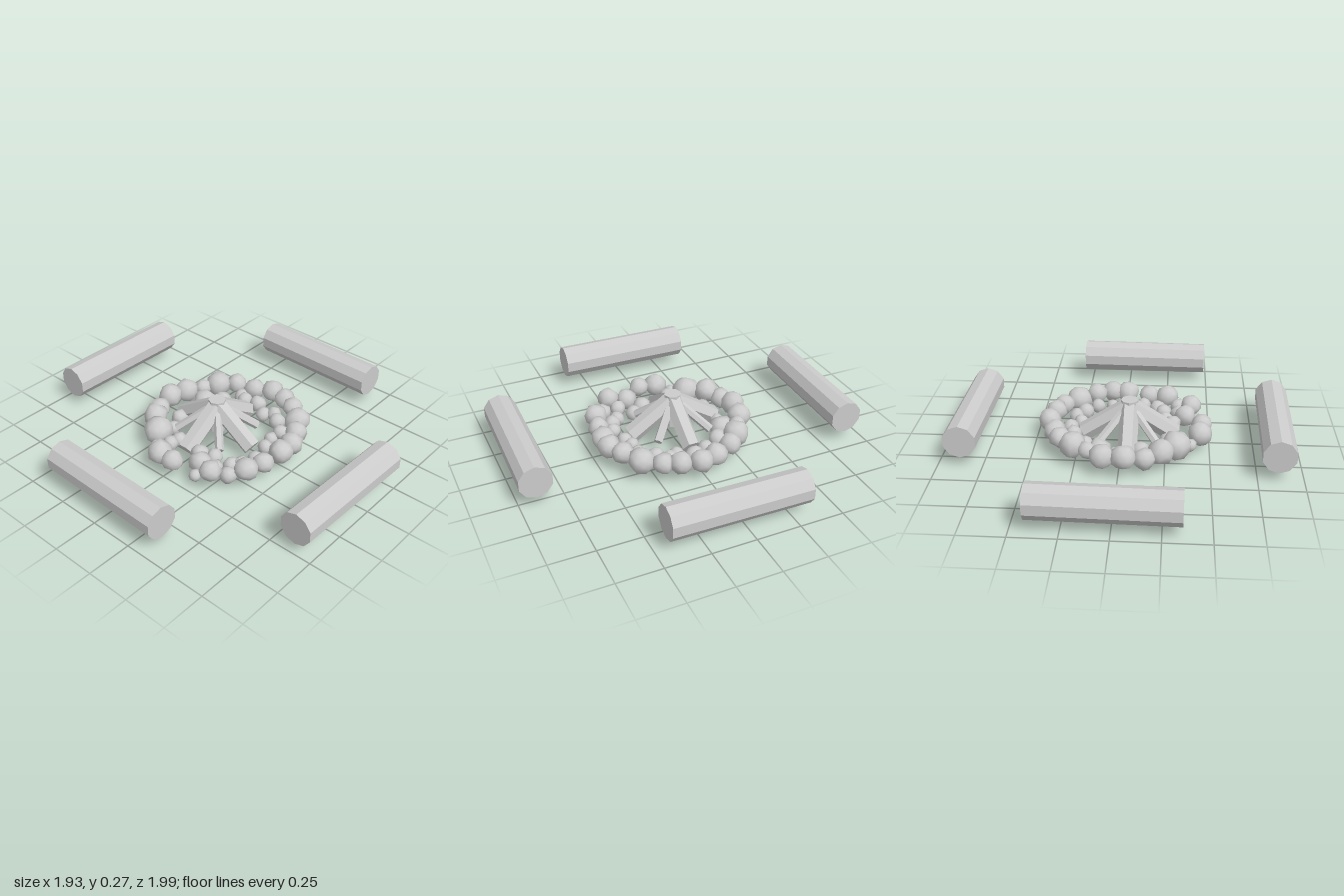
import * as THREE from 'three';
import { mergeVertices } from 'three/addons/utils/BufferGeometryUtils.js';

const flat = new THREE.MeshStandardMaterial({ color: 0xcccccc, flatShading: true });
const smooth = new THREE.MeshStandardMaterial({ color: 0xcccccc });

function seeded(seed) {
  return () => (seed = (seed * 16807) % 2147483647) / 2147483647;
}

function add(parent, name, geometry, material) {
  const mesh = new THREE.Mesh(geometry, material);
  mesh.name = name;
  parent.add(mesh);
  return mesh;
}

// A lumpy rounded stone: a coarse ball whose corners are pushed in and out
function stoneGeometry(radius, random) {
  let g = new THREE.IcosahedronGeometry(radius, 1);
  g.deleteAttribute('normal');
  g.deleteAttribute('uv');
  g = mergeVertices(g, radius * 0.01);
  const p = g.attributes.position;
  for (let i = 0; i < p.count; i++) {
    const s = 0.92 + 0.2 * random();
    p.setXYZ(i, p.getX(i) * s, p.getY(i) * s, p.getZ(i) * s);
  }
  g.rotateY(random() * 6);
  g.rotateX(random() * 6);
  g.computeVertexNormals();
  return g;
}

// Straight stick between two points, one flat side facing up
function stickGeometry(from, to, radius) {
  const dir = to.clone().sub(from);
  const g = new THREE.CylinderGeometry(radius, radius, dir.length(), 6, 1, false, Math.PI / 6);
  g.rotateX(Math.PI / 2);
  g.rotateZ(Math.PI / 2 * 2);
  const m = new THREE.Matrix4().lookAt(to, from, new THREE.Vector3(0, 1, 0));
  g.applyMatrix4(m);
  const mid = from.clone().add(to).multiplyScalar(0.5);
  return g.translate(mid.x, mid.y, mid.z);
}

export function createModel() {
  const model = new THREE.Group();
  model.name = 'campfire';

  // Four seat logs around the fire, each nearly square to it
  const logs = [[0.035, -0.9], [0.865, 0.042], [-0.095, 0.897], [-0.868, -0.017]];
  logs.forEach(([x, z], i) => {
    const g = new THREE.CylinderGeometry(0.095, 0.095, 0.775, 10, 1, false, Math.PI / 2);
    g.rotateZ(Math.PI / 2);
    // turn about its own axis so that an edge runs along the top
    const log = add(model, 'seatLog', g, flat);
    log.position.set(x, 0.14, z);
    log.rotation.y = -i * Math.PI / 2 - 0.02;
  });

  // Firewood: four thick sticks in a cross, thin ones between, around a post
  const wood = new THREE.Group();
  wood.name = 'firewood';
  wood.position.set(-0.042, 0, -0.012);
  model.add(wood);
  for (let i = 0; i < 8; i++) {
    const thick = i % 2 === 0;
    const a = i * Math.PI / 4;
    const reach = thick ? 0.26 : 0.23;
    const foot = new THREE.Vector3(Math.cos(a) * reach, thick ? 0.055 : 0.075, Math.sin(a) * reach);
    const top = new THREE.Vector3(0, thick ? 0.225 : 0.235, 0);
    add(wood, thick ? 'thickStick' : 'thinStick', stickGeometry(foot, top, thick ? 0.054 : 0.025), flat);
  }
  const post = add(wood, 'centrePost', new THREE.CylinderGeometry(0.05, 0.05, 0.2, 8), flat);
  post.position.y = 0.165;

  // Ring of stones, as [x, z, radius]: large ones outside, small ones within
  const largeStones = [
    [-0.03, -0.40, 0.068], [0.09, -0.375, 0.068], [-0.14, -0.375, 0.06], [-0.23, -0.32, 0.07],
    [-0.31, -0.22, 0.08], [0.26, -0.27, 0.072], [0.34, -0.19, 0.06], [0.38, -0.085, 0.062],
    [0.42, 0.025, 0.064], [0.395, 0.135, 0.06], [0.36, 0.225, 0.058], [0.28, 0.315, 0.073],
    [0.18, 0.385, 0.06], [0.085, 0.43, 0.063], [-0.01, 0.43, 0.067], [-0.14, 0.41, 0.058],
    [-0.25, 0.385, 0.064], [-0.395, 0.255, 0.06], [-0.445, -0.075, 0.067], [-0.455, 0.03, 0.058],
    [-0.36, 0.15, 0.06], [0.175, -0.32, 0.048],
  ];
  const smallStones = [
    [-0.285, 0.08, 0.052], [-0.245, 0.15, 0.047], [-0.32, 0.315, 0.047], [-0.195, 0.305, 0.048],
    [-0.235, 0.26, 0.045], [-0.11, 0.33, 0.042], [0.005, 0.305, 0.042], [0.075, 0.29, 0.038],
    [0.165, 0.29, 0.043], [0.23, 0.21, 0.048], [0.245, 0.095, 0.042], [0.28, 0.15, 0.043],
    [0.3, 0.01, 0.048], [0.275, -0.07, 0.047], [0.305, -0.12, 0.046], [0.2, -0.185, 0.05],
    [0.115, -0.25, 0.066], [0.025, -0.265, 0.038], [-0.115, -0.24, 0.047], [-0.2, -0.21, 0.042],
    [-0.26, -0.105, 0.042], [-0.33, -0.105, 0.043], [-0.39, -0.155, 0.036], [-0.43, 0.175, 0.034],
    [-0.32, 0.22, 0.045],
  ];
  const ring = new THREE.Group();
  ring.name = 'stoneRing';
  model.add(ring);
  const random = seeded(1234);
  const placeStones = (name, stones, height) => stones.forEach(([x, z, r]) => {
    const stone = add(ring, name, stoneGeometry(r, random), smooth);
    stone.position.set(x, height + (random() - 0.5) * 0.02, z);
  });
  placeStones('largeStone', largeStones, 0.1);
  placeStones('smallStone', smallStones, 0.062);

  return model;
}
